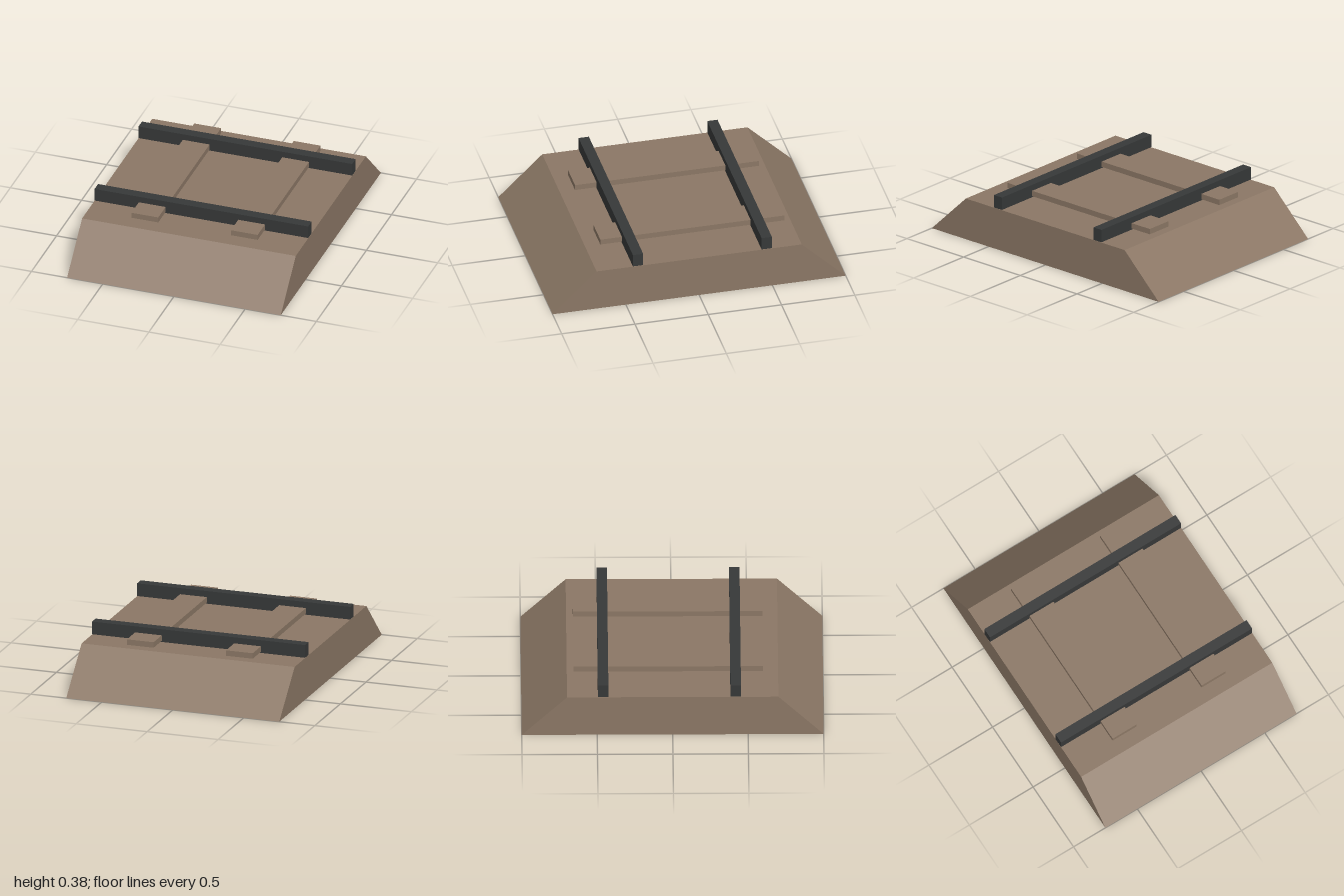
import * as THREE from 'three';

export function createModel() {
  const model = new THREE.Group();
  const earth = new THREE.MeshStandardMaterial({ color: 0x8b7765 });
  earth.name = 'earth brown';
  const iron = new THREE.MeshStandardMaterial({ color: 0x363838 });
  iron.name = 'dark iron';

  function add(name, geometry, material, x = 0, y = 0, z = 0) {
    const mesh = new THREE.Mesh(geometry, material);
    mesh.name = name;
    mesh.position.set(x, y, z);
    model.add(mesh);
  }

  // Embankment: trapezoid profile in z-y, extruded along x
  const width = 1.5;
  const profile = new THREE.Shape([
    new THREE.Vector2(-1, 0),
    new THREE.Vector2(1, 0),
    new THREE.Vector2(0.7, 0.29),
    new THREE.Vector2(-0.7, 0.29),
  ]);
  const bed = new THREE.ExtrudeGeometry(profile, { depth: width, bevelEnabled: false });
  bed.translate(0, 0, -width / 2).rotateY(-Math.PI / 2);
  add('embankment', bed, earth);

  // Two sleepers running front to back, just clear of the bed
  for (const [name, x] of [['rightSleeper', -0.345], ['leftSleeper', 0.353]]) {
    add(name, new THREE.BoxGeometry(0.188, 0.038, 1.255), earth, x, 0.319, -0.028);
  }

  // Two rails running side to side over the sleepers
  for (const [name, z] of [['frontRail', 0.417], ['backRail', -0.461]]) {
    add(name, new THREE.BoxGeometry(width, 0.088, 0.07), iron, 0, 0.336, z);
  }

  return model;
}
